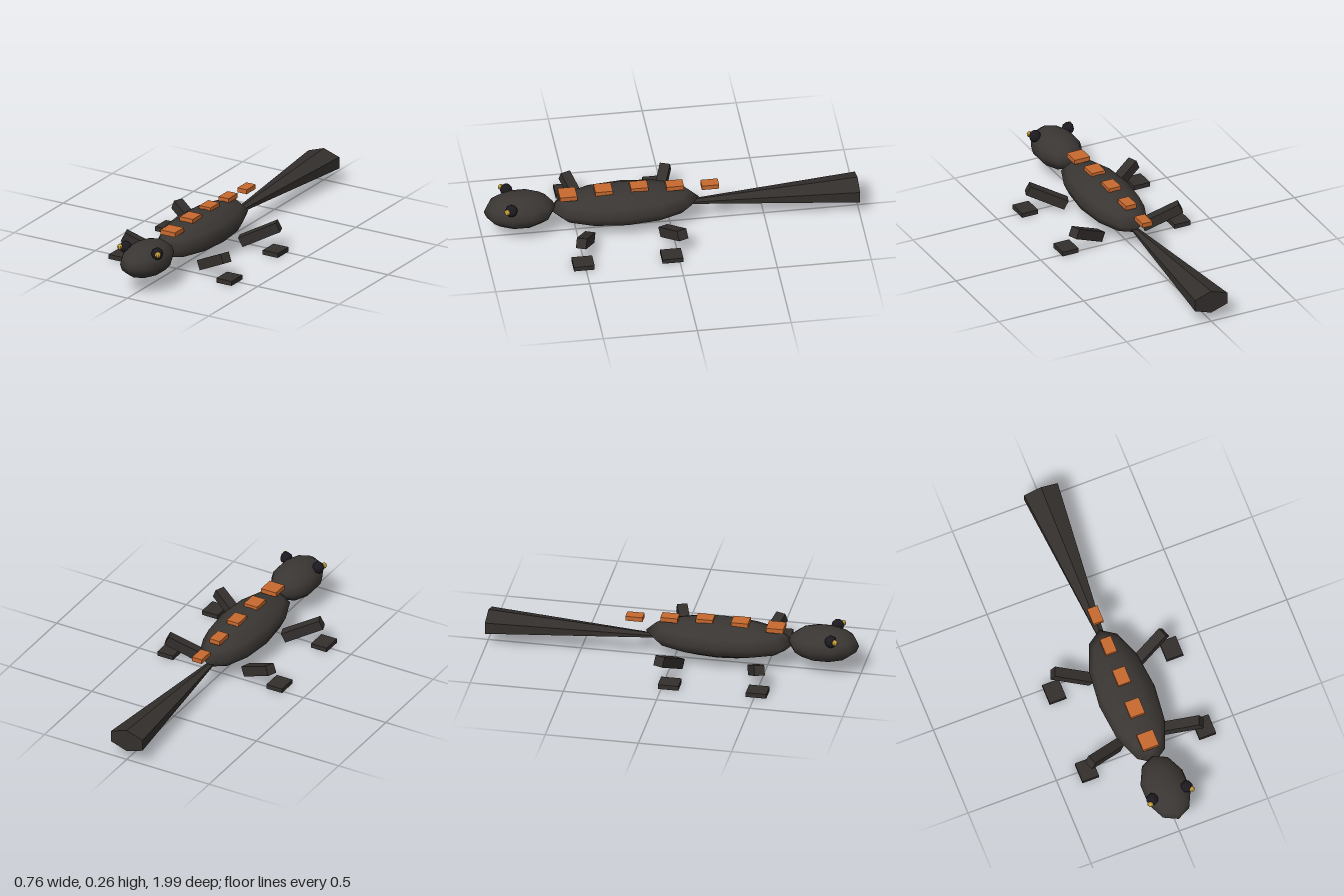
import * as THREE from 'three';

const mat = (color, flatShading = false) => new THREE.MeshStandardMaterial({ color, flatShading });
const skin = mat(0x3a3633);
const skinFlat = mat(0x332f2d, true);
const orange = mat(0xc8692e, true);
const eyeDark = mat(0x1c1a20);
const gold = mat(0xc9a23a, true);

export function createModel() {
  const model = new THREE.Group();

  const add = (name, geometry, material, x, y, z) => {
    const mesh = new THREE.Mesh(geometry, material);
    mesh.name = name;
    mesh.position.set(x, y, z);
    model.add(mesh);
    return mesh;
  };

  // Long low body and a flattened head
  add('body', new THREE.SphereGeometry(1, 12, 6), skin, 0, 0.143, 0.245).scale.set(0.157, 0.098, 0.4);
  const headShape = new THREE.SphereGeometry(1, 10, 8).rotateY(Math.PI / 2);
  add('head', headShape, skin, 0, 0.16, 0.8).scale.set(0.125, 0.093, 0.19);

  // Six-sided tail, flattened, widening towards its end
  const tailShape = new THREE.CylinderGeometry(0.018, 0.11, 0.9, 6).rotateX(Math.PI / 2);
  add('tail', tailShape, skinFlat, 0, 0.115, -0.55).scale.y = 0.58;

  // Row of back plates: width, y, z
  const plates = [
    [0.09, 0.228, 0.545], [0.08, 0.24, 0.355], [0.07, 0.24, 0.165],
    [0.062, 0.228, -0.025], [0.058, 0.215, -0.213],
  ];
  plates.forEach(([width, y, z]) =>
    add('backPlate', new THREE.BoxGeometry(width, 0.025, 0.092), orange, 0, y, z));

  for (const side of [1, -1]) {
    const label = side > 0 ? 'left' : 'right';

    // Eyes with gold pupils
    add(label + 'Eye', new THREE.SphereGeometry(0.033, 8, 6), eyeDark, side * 0.097, 0.223, 0.857);
    add(label + 'Pupil', new THREE.SphereGeometry(0.016, 8, 6), gold, side * 0.117, 0.228, 0.882);

    // Splayed legs, the front pair swept forward and the back pair swept back
    for (const [end, dir, legZ, footZ] of [['Front', 1, 0.48, 0.51], ['Back', -1, 0.013, 0.038]]) {
      const leg = add(label + end + 'Leg', new THREE.BoxGeometry(0.225, 0.055, 0.055), skinFlat, side * 0.22, 0.081, legZ);
      leg.rotation.set(0, -side * dir * 0.365, side * 0.454, 'YZX');
      add(label + end + 'Foot', new THREE.BoxGeometry(0.094, 0.025, 0.11), skinFlat, side * 0.331, 0.0125, footZ);
    }
  }
  return model;
}
